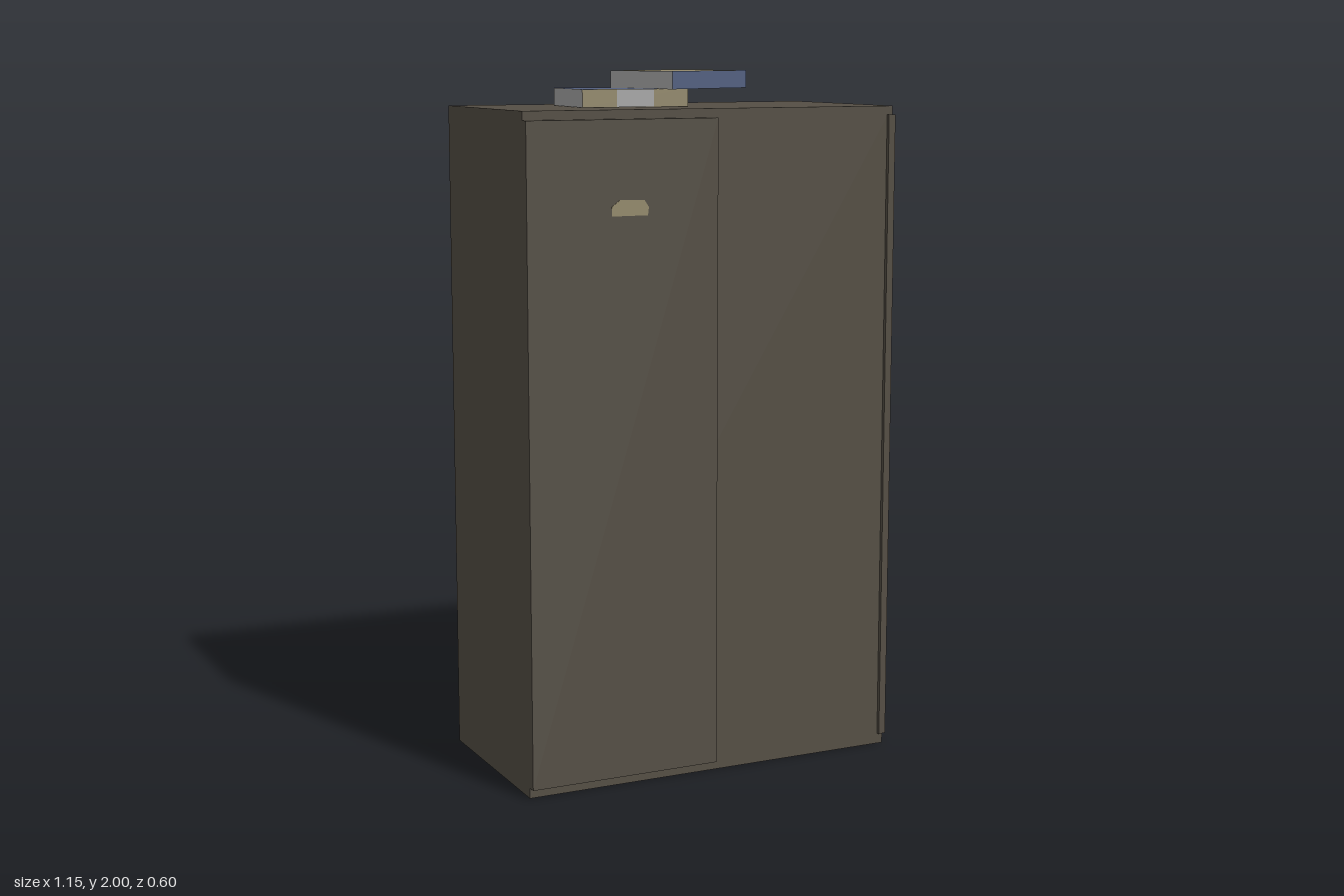
import * as THREE from 'three';

const mat = (name, color, side = THREE.FrontSide) => {
  const m = new THREE.MeshStandardMaterial({ color, side });
  m.name = name;
  return m;
};

export function createModel() {
  const brown = mat('dark wood', 0x544e44, THREE.DoubleSide);
  const khaki = mat('khaki', 0x92886a);
  const blue = mat('blue cloth', 0x536080);
  const grey = mat('paper grey', 0xa6a6a6);

  const model = new THREE.Group();
  model.name = 'wardrobe';

  const add = (parent, name, geometry, material, x = 0, y = 0, z = 0) => {
    const mesh = new THREE.Mesh(geometry, material);
    mesh.name = name;
    mesh.position.set(x, y, z);
    parent.add(mesh);
    return mesh;
  };

  // Cabinet shell: single sheets, open at the back and underneath
  const X0 = -0.577, X1 = 0.563, Z0 = -0.3, Z1 = 0.27, H = 1.9;
  const W = X1 - X0, D = Z1 - Z0, cx = (X0 + X1) / 2, cz = (Z0 + Z1) / 2;
  const cabinet = new THREE.Group();
  cabinet.name = 'cabinet';
  model.add(cabinet);
  add(cabinet, 'frontPanel', new THREE.PlaneGeometry(W, H), brown, cx, H / 2, Z1);
  add(cabinet, 'topPanel', new THREE.PlaneGeometry(W, D).rotateX(-Math.PI / 2), brown, cx, H, cz);
  add(cabinet, 'leftPanel', new THREE.PlaneGeometry(D, H).rotateY(Math.PI / 2), brown, X1, H / 2, cz);
  add(cabinet, 'rightPanel', new THREE.PlaneGeometry(D, H).rotateY(-Math.PI / 2), brown, X0, H / 2, cz);

  // Doors: side is the direction from hinge to free edge
  const DW = 0.569, DH = 1.845, DT = 0.025;
  const addDoor = (name, side, x, z, angle) => {
    const door = new THREE.Group();
    door.name = name;
    door.position.set(x, 0.03, z);
    door.rotation.y = angle;
    model.add(door);
    add(door, 'doorPanel', new THREE.BoxGeometry(DW, DH, DT), brown, side * DW / 2, DH / 2, DT / 2);
    // Flat grip plate
    const outline = [[-0.055, -0.022], [0.052, -0.022], [0.055, 0], [0.042, 0.02], [-0.03, 0.022], [-0.055, 0.004]]
      .map(([px, py]) => new THREE.Vector2(side * px, py));
    const grip = new THREE.ExtrudeGeometry(new THREE.Shape(outline), { depth: 0.002, bevelEnabled: false });
    add(door, 'handle', grip, khaki, side * 0.302, 1.607, DT);
  };
  addDoor('rightDoor', 1, X0, Z1, 0);
  addDoor('leftDoor', -1, 0.572, 0.273, -THREE.MathUtils.degToRad(77.5));

  // Books: covers above and below, coloured long sides, paper ends
  const addBook = (name, cover, edge, x, y, z, angle) => {
    const geometry = new THREE.BoxGeometry(0.315, 0.05, 0.239);
    const book = add(model, name, geometry, [grey, grey, cover, cover, edge, edge], x, y, z);
    book.rotation.y = angle;
    return book;
  };
  const lower = addBook('lowerBook', blue, khaki, -0.163, 1.926, -0.0155, -0.063);
  addBook('upperBook', khaki, blue, 0.02, 1.975, -0.0155, 0.384);

  // Paper patches on the long sides of the lower book
  for (const s of [1, -1]) {
    add(lower, 'paperPatch', new THREE.BoxGeometry(0.11, 0.048, 0.002), grey, 0, 0, s * 0.1195);
  }

  return model;
}
